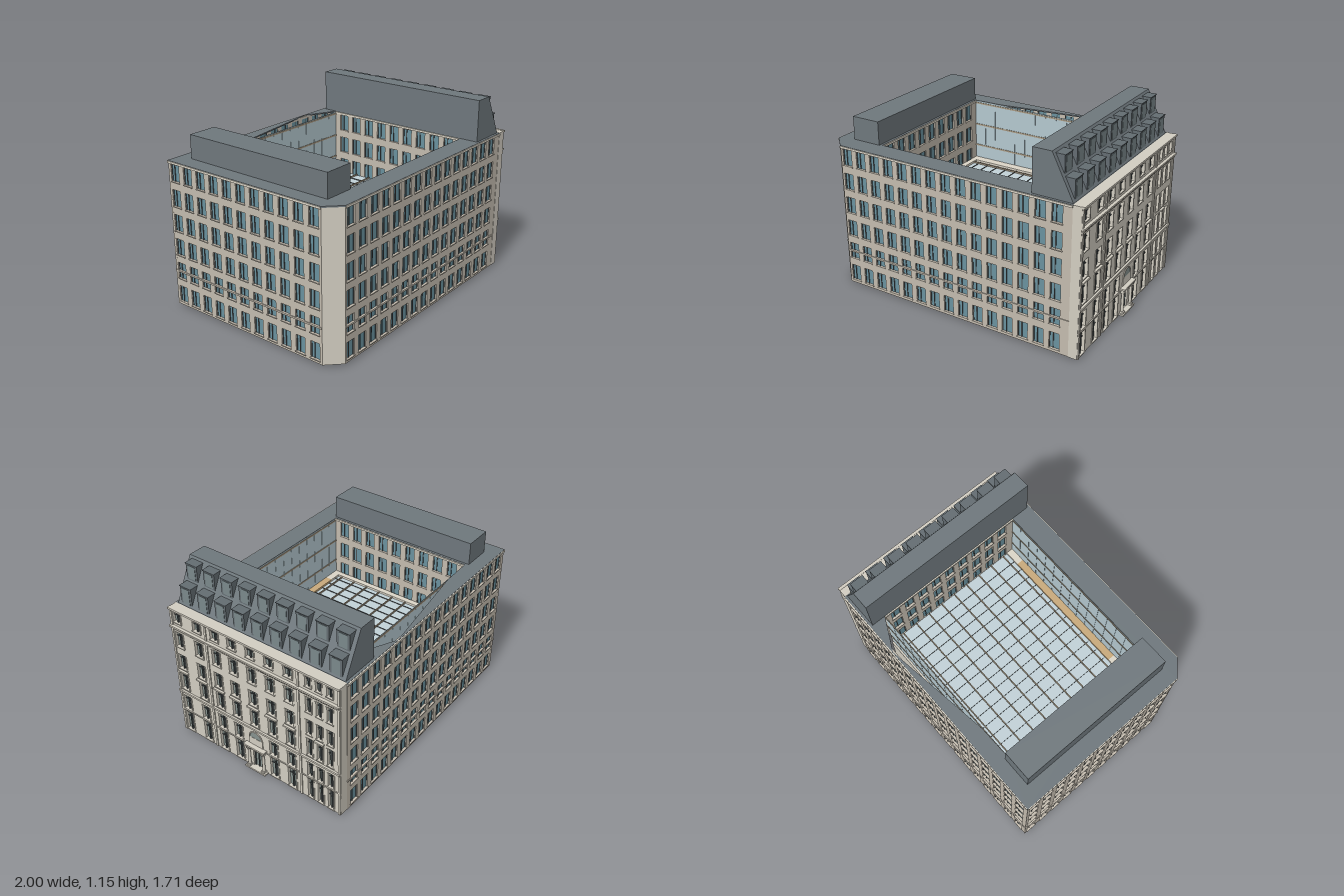
import * as THREE from 'three';
import { mergeGeometries } from 'three/addons/utils/BufferGeometryUtils.js';

const mat = (color, double) => new THREE.MeshStandardMaterial({ color, side: double ? THREE.DoubleSide : THREE.FrontSide });
const M = {
  stone: mat(0xd3cec2), office: mat(0xc4bcaf), cream: mat(0xdcd6c8, true), roof: mat(0x6f787d, true),
  glass: mat(0x6a929f, true), paleGlass: mat(0xc2d2d8, true), courtGlass: mat(0xb4c8cf, true), facadeGlass: mat(0x87938f, true),
  frame: mat(0x4c5254), tan: mat(0xc9aa7c), slab: mat(0xbcbcb0), dormer: mat(0x646d72), dormerGlass: mat(0x7b898c), line: mat(0xa89a84),
};
const FLOORS = [0.03, 0.18, 0.33, 0.48, 0.63, 0.78], WIN_H = 0.1, BASE = 0.01, TOP = 0.895;

function add(parent, name, geo, material) {
  const m = new THREE.Mesh(geo, material);
  m.name = name;
  parent.add(m);
  return m;
}
// box given by its minimum and maximum corners
function box(x0, x1, y0, y1, z0, z1) {
  return new THREE.BoxGeometry(x1 - x0, y1 - y0, z1 - z0).translate((x0 + x1) / 2, (y0 + y1) / 2, (z0 + z1) / 2);
}
const boxes = (parent, name, list, material) => list.length && add(parent, name, mergeGeometries(list), material);

function polygon(points, Type = THREE.Shape) {
  return new Type(points.map(([x, y]) => new THREE.Vector2(x, y)));
}
// group whose local x runs from p0 to p1 (plan u, v) and whose z faces outwards
function wallGroup(parent, name, p0, p1) {
  const g = new THREE.Group();
  g.name = name;
  g.position.set(p0[0], 0, p0[1]);
  g.rotation.y = Math.atan2(p0[1] - p1[1], p1[0] - p0[0]);
  g.userData.length = Math.hypot(p1[0] - p0[0], p1[1] - p0[1]);
  parent.add(g);
  return g;
}
// wall with window openings [x, y, width, height]; glass is set back in them
function piercedWall(g, openings, { thick = 0.014, recess = 0.01, wall, glass, top = TOP }) {
  const L = g.userData.length;
  const shape = polygon([[0, BASE], [L, BASE], [L, top], [0, top]]);
  for (const [x, y, w, h] of openings)
    shape.holes.push(polygon([[x, y], [x, y + h], [x + w, y + h], [x + w, y]], THREE.Path));
  const geo = new THREE.ExtrudeGeometry(shape, { depth: thick, bevelEnabled: false }).translate(0, 0, -thick);
  add(g, 'wall', geo, wall);
  boxes(g, 'windowGlass', openings.map(([x, y, w, h]) =>
    new THREE.PlaneGeometry(w, h).translate(x + w / 2, y + h / 2, -recess)), glass);
}

// plain office elevation: a regular grid of windows on every floor
function officeWall(parent, name, p0, p1, count, start, pitch, floors = FLOORS) {
  const g = wallGroup(parent, name, p0, p1), L = g.userData.length, w = 0.062;
  const openings = [], frames = [], sills = [];
  for (const y of floors) {
    for (let i = 0; i < count; i++) {
      const x = start + i * pitch - w / 2;
      openings.push([x, y, w, WIN_H]);
      frames.push(box(x + 0.02, x + 0.025, y, y + WIN_H, -0.012, -0.006));
      frames.push(box(x, x + 0.003, y, y + WIN_H, -0.012, -0.006), box(x + w - 0.003, x + w, y, y + WIN_H, -0.012, -0.006));
      sills.push(box(x - 0.004, x + w + 0.004, y - 0.006, y, -0.006, 0.005));
    }
  }
  piercedWall(g, openings, { wall: M.office, glass: M.glass });
  boxes(g, 'windowFrames', frames, M.frame);
  boxes(g, 'sills', sills, M.office);
  if (floors === FLOORS) boxes(g, 'stringCourse', [box(0, L, 0.222, 0.232, -0.008, 0.005)], M.office);
  boxes(g, 'coping', [box(0, L, TOP - 0.01, TOP + 0.002, -0.004, 0.008)], M.cream);
}

// classical street front with cornices, pilasters and a doorway
function streetFront(parent) {
  const g = wallGroup(parent, 'streetFront', [0.808, 0.604], [0.808, -0.578]), L = g.userData.length;
  const rows = [[0.02, 0.135], [0.18, 0.1], [0.335, 0.12], [0.485, 0.1], [0.64, 0.1], [0.81, 0.06]];
  const bays = [0.551, 0.402, 0.272, 0.148, 0.018, -0.111, -0.24, -0.371, -0.44, -0.51].map(v => 0.604 - v);
  const openings = [], frames = [], trim = [];
  rows.forEach(([y, h], r) => bays.forEach((c, b) => {
    if (b === 4 && r < 2) return;
    const w = b < 7 ? 0.056 : 0.036;
    openings.push([c - w / 2, y, w, h]);
    frames.push(box(c - 0.004, c + 0.004, y, y + h, -0.018, -0.006));
    frames.push(box(c - w / 2, c + w / 2, y + h * 0.68, y + h * 0.68 + 0.004, -0.018, -0.01));
    trim.push(box(c - w / 2 - 0.006, c + w / 2 + 0.006, y - 0.006, y, -0.004, 0.006));
    for (const s of [-1, 1]) trim.push(box(c + s * (w / 2 + 0.004) - 0.004, c + s * (w / 2 + 0.004) + 0.004, y, y + h, -0.004, 0.003));
    if (r === 2 && b !== 7 && b !== 9) trim.push(box(c - w / 2 - 0.012, c + w / 2 + 0.012, y + h + 0.006, y + h + 0.016, -0.004, 0.014));
  }));
  const door = bays[4];
  openings.push([door - 0.03, 0.015, 0.06, 0.145]);
  piercedWall(g, openings, { thick: 0.053, recess: 0.016, wall: M.stone, glass: M.facadeGlass, top: 0.9 });
  boxes(g, 'windowFrames', frames, M.frame);
  // cornices, string courses and pilasters
  trim.push(box(0, door - 0.07, 0.166, 0.172, -0.004, 0.005), box(door + 0.07, L, 0.166, 0.172, -0.004, 0.005));
  for (const [y, h, d] of [[0.308, 0.012, 0.012], [0.757, 0.008, 0.008], [0.775, 0.01, 0.018], [0.89, 0.012, 0.014]])
    trim.push(box(0, L, y, y + h, -0.004, d));
  for (const v of [0.594, 0.336, -0.306, -0.568]) trim.push(box(0.604 - v - 0.007, 0.604 - v + 0.007, BASE, 0.89, -0.004, 0.006));
  boxes(g, 'stoneTrim', trim, M.stone);
  const dentils = [];
  for (let x = 0.008; x < L - 0.01; x += 0.016) dentils.push(box(x, x + 0.008, 0.765, 0.775, -0.002, 0.012));
  boxes(g, 'dentils', dentils, M.stone);
  // doorway with columns, entablature and arched fanlight
  const d = new THREE.Group();
  d.name = 'doorway';
  d.position.x = door;
  g.add(d);
  const surround = [box(-0.075, 0.075, 0.175, 0.186, -0.004, 0.03), box(-0.066, 0.066, 0.158, 0.175, -0.004, 0.02), box(-0.075, 0.075, BASE, 0.02, -0.004, 0.03)];
  for (const s of [-1, 1]) {
    surround.push(box(s * 0.053 - 0.012, s * 0.053 + 0.012, 0.02, 0.032, -0.004, 0.024), box(s * 0.053 - 0.011, s * 0.053 + 0.011, 0.15, 0.158, -0.004, 0.022));
    surround.push(new THREE.CylinderGeometry(0.008, 0.009, 0.12, 12).translate(s * 0.053, 0.091, 0.01));
  }
  boxes(d, 'doorSurround', surround, M.stone);
  boxes(d, 'doorLeaves', [box(-0.003, 0.003, 0.015, 0.13, -0.02, -0.01), box(-0.03, 0.03, 0.125, 0.132, -0.02, -0.01),
    box(-0.03, -0.024, 0.015, 0.16, -0.02, -0.01), box(0.024, 0.03, 0.015, 0.16, -0.02, -0.01)], M.frame);
  add(d, 'fanlight', new THREE.CircleGeometry(0.045, 20, 0, Math.PI).translate(0, 0.24, 0.004), M.facadeGlass);
  add(d, 'fanlightArch', new THREE.TorusGeometry(0.046, 0.004, 6, 20, Math.PI).translate(0, 0.24, 0.004), M.stone);
  boxes(d, 'fanlightSurround', [box(-0.05, 0.05, 0.19, 0.24, -0.004, 0.005)], M.stone);
}

// steep roof over the street wing with two rows of dormers
function mansard(parent) {
  const g = new THREE.Group();
  g.name = 'mansardRoof';
  parent.add(g);
  const z0 = -0.565, z1 = 0.589, n = 9, pitch = (z1 - z0) / n;
  const profile = polygon([[0.513, 0.89], [0.755, 0.89], [0.625, 1.15], [0.513, 1.15]]);
  add(g, 'roofBody', new THREE.ExtrudeGeometry(profile, { depth: z1 - z0, bevelEnabled: false }).translate(0, 0, z0), M.roof);
  const bodies = [], panes = [], rims = [];
  for (const [y0, y1, back, front] of [[0.902, 1.018, 0.67, 0.745], [1.03, 1.132, 0.61, 0.684]])
    for (let i = 0; i < n; i++) {
      const c = z0 + (i + 0.5) * pitch;
      bodies.push(box(back, front, y0, y1, c - 0.04, c + 0.04));
      rims.push(box(back, front + 0.004, y1, y1 + 0.004, c - 0.042, c + 0.042));
      panes.push(box(front - 0.01, front + 0.002, y0 + 0.01, y1 - 0.008, c - 0.026, c + 0.026));
    }
  boxes(g, 'dormers', bodies, M.dormer);
  boxes(g, 'dormerRoofs', rims, M.dormer);
  boxes(g, 'dormerWindows', panes, M.dormerGlass);
}

// inner court: windowed ends, glazed long sides and a glass atrium roof
function courtyard(parent) {
  const g = new THREE.Group();
  g.name = 'courtyard';
  parent.add(g);
  const u0 = -0.54, u1 = 0.513, v0 = -0.478, v1 = 0.475, glassY = 0.49;
  const upper = FLOORS.slice(3);
  officeWall(g, 'courtLeftWall', [u0, v1], [u0, v0], 9, 0.07, 0.1, upper);
  officeWall(g, 'courtRightWall', [u1, v0], [u1, v1], 9, 0.07, 0.1, upper);
  for (const [name, p0, p1] of [['courtBackWall', [u0, v0], [u1, v0]], ['courtFrontWall', [u1, v1], [u0, v1]]]) {
    const w = wallGroup(g, name, p0, p1), L = w.userData.length;
    add(w, 'glazing', new THREE.PlaneGeometry(L, TOP - glassY).translate(L / 2, (TOP + glassY) / 2, 0), M.courtGlass);
    boxes(w, 'lowerWall', [box(0, L, BASE, glassY, -0.012, 0)], M.stone);
    boxes(w, 'floorBands', [0.585, 0.73, 0.878].map(y => box(0, L, y, y + 0.01, -0.003, 0.003)), M.line);
    const mullions = [];
    for (let i = 1; i < 14; i++) mullions.push(box(i * L / 14 - 0.001, i * L / 14 + 0.001, glassY, TOP, -0.001, 0.002));
    boxes(w, 'mullions', mullions, M.courtGlass);
  }
  add(g, 'atriumGlass', new THREE.PlaneGeometry(u1 - u0, v1 - v0).rotateX(-Math.PI / 2).translate((u0 + u1) / 2, glassY, (v0 + v1) / 2), M.paleGlass);
  const bars = [], ribs = [];
  for (let i = 0; i < 9; i++) bars.push(box(u0, u1, glassY, glassY + 0.01, -0.40 + i * 0.1 - 0.003, -0.40 + i * 0.1 + 0.003));
  for (let i = 1; i < 15; i++) ribs.push(box(u0 + i * 0.07 - 0.001, u0 + i * 0.07 + 0.001, glassY, glassY + 0.005, v0, v1));
  boxes(g, 'atriumBeams', bars, M.line);
  boxes(g, 'atriumRibs', ribs, M.frame);
  const ly = glassY + 0.014;
  boxes(g, 'atriumLedges', [box(u0, u1, glassY, ly, v0, v0 + 0.055), box(u0, u0 + 0.035, glassY, ly, v0, v1),
    box(u0, -0.43, glassY, ly, 0.43, v1), box(0.41, u1, glassY, ly, 0.43, v1)], M.cream);
  boxes(g, 'atriumWalkway', [box(-0.43, 0.41, glassY, ly, 0.43, v1)], M.tan);
  boxes(g, 'groundSlab', [box(u0, 0.525, 0, 0.012, -0.49, 0.5)], M.slab);
}

export function createModel() {
  const root = new THREE.Group();
  root.name = 'courtyardBuilding';
  const b = new THREE.Group();
  b.name = 'building';
  b.rotation.y = THREE.MathUtils.degToRad(23);
  root.add(b);

  // outer elevations
  officeWall(b, 'frontWall', [-0.744, 0.602], [0.757, 0.602], 15, 0.046, 0.0976);
  officeWall(b, 'backWall', [0.757, -0.58], [-0.835, -0.58], 16, 0.062, 0.0978);
  officeWall(b, 'leftWall', [-0.835, -0.58], [-0.828, 0.518], 11, 0.05, 0.1);
  const corner = wallGroup(b, 'chamferedCorner', [-0.828, 0.518], [-0.744, 0.602]);
  piercedWall(corner, [], { wall: M.stone, glass: M.glass });
  streetFront(b);

  // flat roof, open over the court and along part of the back wing
  const flat = polygon([[-0.838, 0.583], [-0.831, -0.518], [-0.744, -0.605], [0.757, -0.605], [0.757, 0.58]]);
  flat.holes.push(polygon([[-0.54, 0.478], [-0.35, 0.482], [0.312, 0.577], [0.513, 0.478], [0.513, -0.475], [-0.54, -0.475]], THREE.Path));
  add(b, 'flatRoof', new THREE.ExtrudeGeometry(flat, { depth: 0.008, bevelEnabled: false }).rotateX(-Math.PI / 2).translate(0, 0.891, 0), M.roof);
  boxes(b, 'roofPlantRoom', [box(-0.738, -0.556, 0.89, 1.04, -0.497, 0.486)], M.roof);
  mansard(b);
  courtyard(b);
  return root;
}
